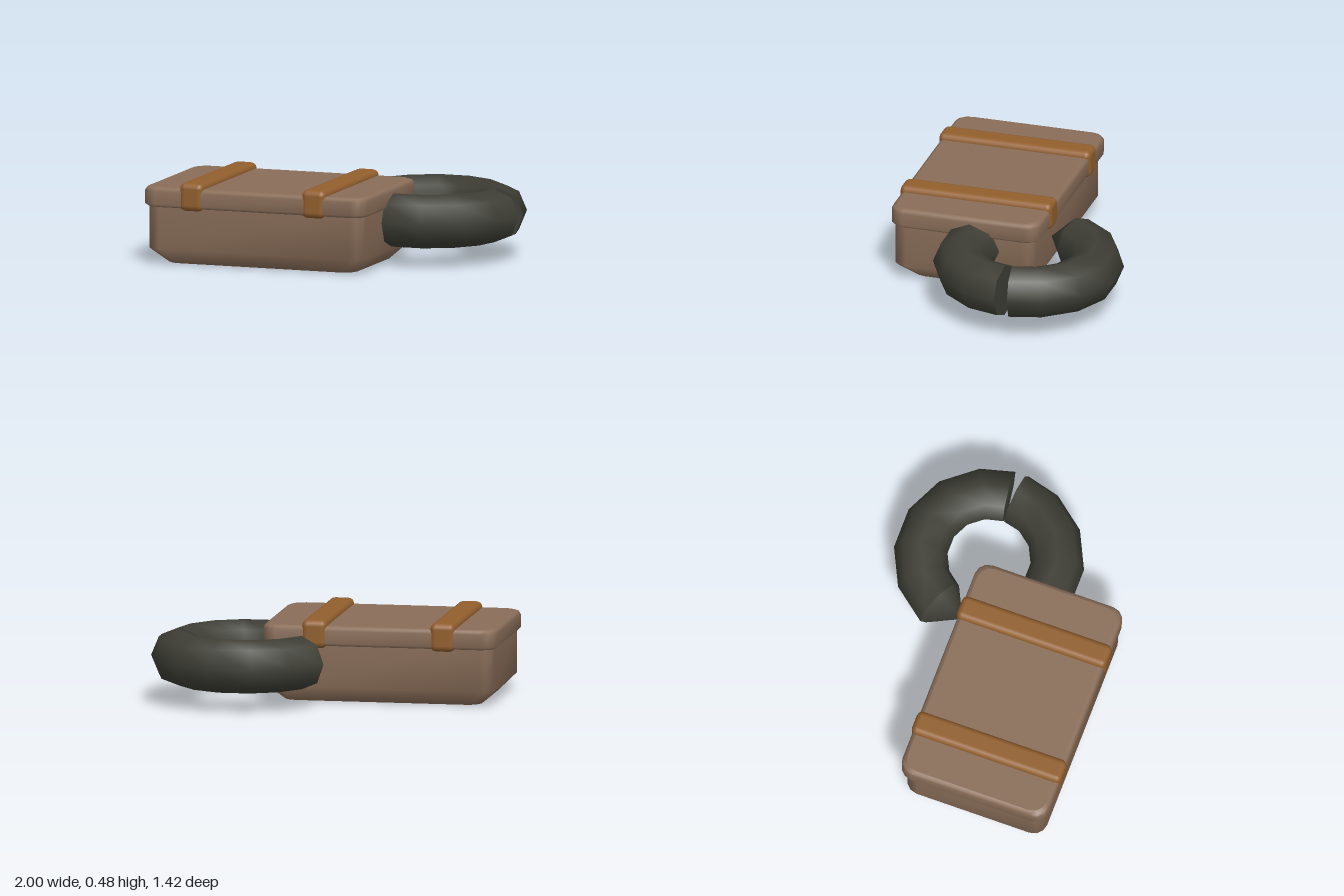
import * as THREE from 'three';
import { RoundedBoxGeometry } from 'three/addons/geometries/RoundedBoxGeometry.js';

const material = (name, color) => {
  const m = new THREE.MeshStandardMaterial({ color });
  m.name = name;
  return m;
};

// Skin through equal rings of points: smooth sides, flat ends fanned to a centre point
function loft(rings, startCentre, endCentre) {
  const n = rings[0].length, pos = [], idx = [];
  rings.forEach(r => r.forEach(p => pos.push(p.x, p.y, p.z)));
  for (let i = 0; i < rings.length - 1; i++) {
    for (let j = 0; j < n; j++) {
      const a = i * n + j, b = i * n + (j + 1) % n;
      idx.push(a, a + n, b, b, a + n, b + n);
    }
  }
  const cap = (ring, centre, flip) => {
    const base = pos.length / 3;
    [...ring, centre].forEach(p => pos.push(p.x, p.y, p.z));
    for (let j = 0; j < n; j++) {
      const a = base + j, b = base + (j + 1) % n;
      idx.push(base + n, flip ? a : b, flip ? b : a);
    }
  };
  cap(rings[0], startCentre, true);
  cap(rings[rings.length - 1], endCentre, false);
  const g = new THREE.BufferGeometry();
  g.setAttribute('position', new THREE.Float32BufferAttribute(pos, 3));
  g.setIndex(idx);
  g.computeVertexNormals();
  return g;
}

// Rounded rectangle in plan, stacked from [height, inset] levels
function roundedSlab(x0, x1, z0, z1, radius, levels) {
  const cx = (x0 + x1) / 2, cz = (z0 + z1) / 2;
  const rings = levels.map(([y, inset]) => {
    const pts = [];
    for (let q = 0; q < 4; q++) {
      const sx = q === 0 || q === 3 ? 1 : -1, sz = q < 2 ? 1 : -1;
      for (let k = 0; k <= 3; k++) {
        const a = (q + k / 3) * Math.PI / 2;
        const x = cx + sx * ((x1 - x0) / 2 - inset - radius) + radius * Math.cos(a);
        const z = cz + sz * ((z1 - z0) / 2 - inset - radius) + radius * Math.sin(a);
        pts.push(new THREE.Vector3(x, y, z));
      }
    }
    return pts;
  });
  const centre = y => new THREE.Vector3(cx, y, cz);
  return loft(rings, centre(levels[0][0]), centre(levels[levels.length - 1][0]));
}

// Half of the ring, centred on the origin, curving from +x round through -z
function halfRing(R, r) {
  const rings = [], centres = [];
  for (let i = 0; i <= 6; i++) {
    const a = i === 0 ? 0.055 : i * Math.PI / 7;
    const tilt = i === 0 ? 0.113 : a;
    const c = new THREE.Vector3(R * Math.cos(a), 0, -R * Math.sin(a));
    const out = new THREE.Vector3(Math.cos(tilt), 0, -Math.sin(tilt));
    const ring = [];
    for (let k = 0; k < 8; k++) {
      const t = k * Math.PI / 4;
      const p = c.clone().addScaledVector(out, r * Math.cos(t));
      p.y += r * Math.sin(t);
      ring.push(p);
    }
    rings.push(ring);
    centres.push(c);
  }
  return loft(rings, centres[0], new THREE.Vector3(-0.4, 0, -0.015));
}

export function createModel() {
  const model = new THREE.Group();
  model.name = 'strappedCaseWithRing';
  const caseBrown = material('caseBrown', 0x8a6e59);
  const strapTan = material('strapTan', 0x925f2d);
  const ringDark = material('ringDark', 0x3e3e36);
  const add = (name, geometry, mat) => {
    const mesh = new THREE.Mesh(geometry, mat);
    mesh.name = name;
    model.add(mesh);
    return mesh;
  };

  // Case body with bevelled base, and overhanging lid
  add('caseBody', roundedSlab(-0.98, 0.35, -0.168, 0.682, 0.08,
    [[0, 0.09], [0.09, 0], [0.36, 0]]), caseBrown);
  add('lid', roundedSlab(-1, 0.365, -0.196, 0.7, 0.08,
    [[0.335, 0.016], [0.35, 0], [0.425, 0], [0.442, 0.008], [0.45, 0.025]]), caseBrown);

  // Straps over the lid
  [['rightStrap', -0.693], ['leftStrap', 0.056]].forEach(([name, x]) => {
    const strap = add(name, new RoundedBoxGeometry(0.145, 0.165, 0.914, 2, 0.035), strapTan);
    strap.position.set(x, 0.402, 0.251);
  });

  // Ring in two matching halves, the front one running into the case
  const half = halfRing(0.395, 0.155);
  ['rearRingHalf', 'frontRingHalf'].forEach((name, i) => {
    const mesh = add(name, half, ringDark);
    mesh.position.set(0.455, 0.26, -0.172);
    mesh.rotation.x = i * Math.PI;
  });
  return model;
}
